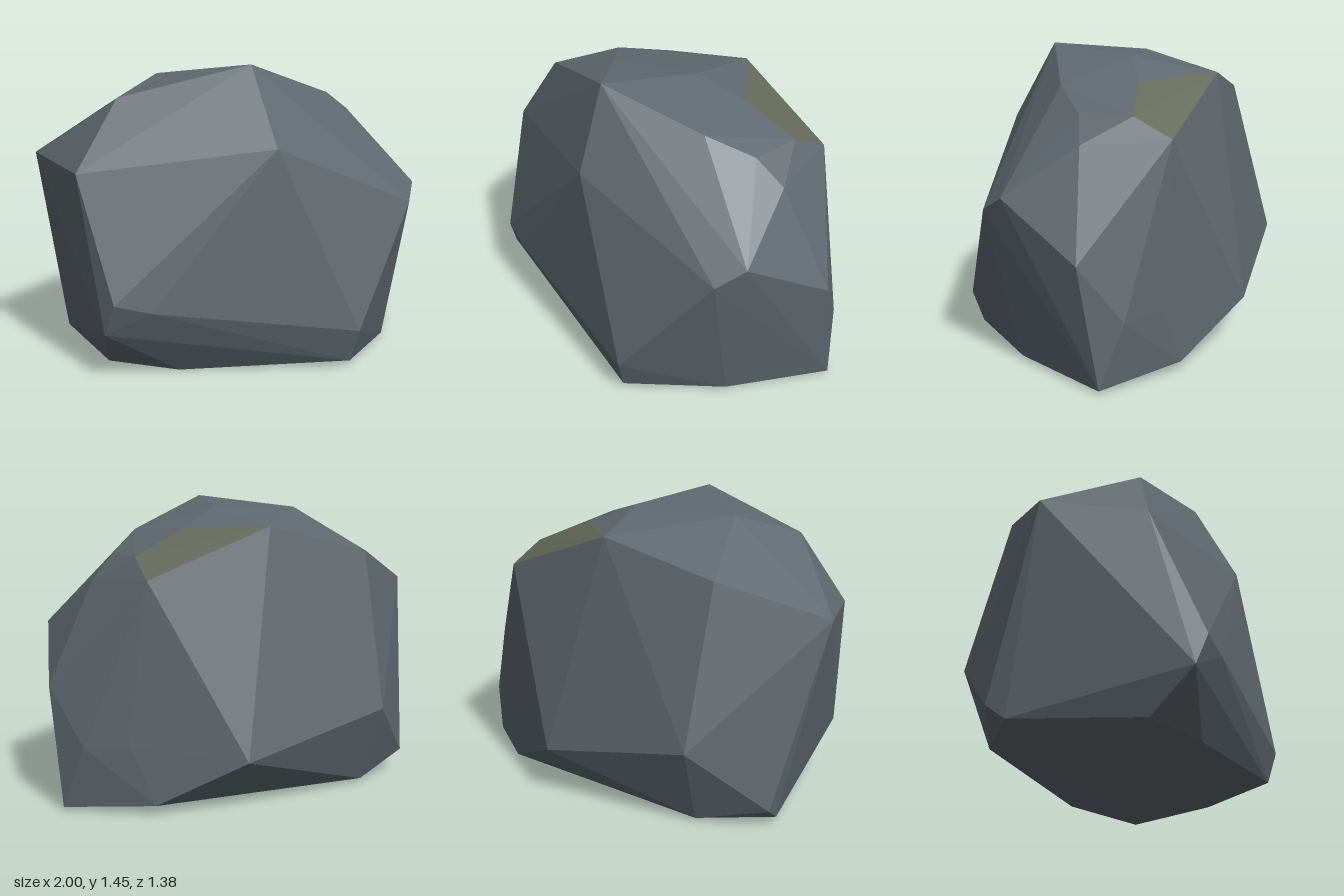
import * as THREE from 'three';
import { ConvexGeometry } from 'three/addons/geometries/ConvexGeometry.js';

const vectors = (list) => list.map((p) => new THREE.Vector3(...p));

// corners of the mossy facet on the upper back
const mossCorners = vectors([
  [0, 1.33, -0.47], [0.33, 1.31, -0.18], [0.6, 1.19, -0.26], [0.61, 1.1, -0.45],
]);

// crown
const crown = vectors([
  [-0.01, 1.445, 0.42], [-0.63, 1.29, 0.3], [-0.4, 1.39, 0.05], [-0.25, 1.41, 0.17],
  [0.11, 1.405, -0.06], [0.45, 1.29, 0.17], [0.62, 1.19, 0],
]);

// widest band around the sides
const flanks = vectors([
  [0.07, 1.065, 0.61], [-0.38, 1.11, 0.46], [-0.84, 0.95, 0.4], [-1, 1, -0.06],
  [-0.8, 1.06, -0.22], [-0.57, 1.19, -0.4], [0.75, 1.07, -0.06],
  [0.89, 0.83, 0.27], [0.82, 0.75, 0.4], [1, 0.59, -0.15],
]);

// lower edge and underside
const base = vectors([
  [0.46, 0.19, 0.69], [-0.53, 0.33, 0.64], [-0.7, 0.37, 0.62], [-0.74, 0.22, 0.57],
  [-0.56, 0.42, -0.615], [0.21, 0.26, -0.69], [0.89, 0.32, -0.33], [0.7, 0.33, -0.44],
  [0.43, 0.03, 0.645], [0.75, 0.02, 0.25], [0.97, 0.015, -0.24], [0.6, 0.05, -0.5],
  [-0.53, 0.02, -0.47], [-0.86, 0.1, -0.34], [-0.85, 0.03, -0.25], [-0.7, 0.02, 0.35],
  [-0.38, 0, 0.5],
]);

function facetMesh(name, positions, color) {
  const geometry = new THREE.BufferGeometry();
  geometry.setAttribute('position', new THREE.Float32BufferAttribute(positions, 3));
  geometry.computeVertexNormals();
  const mesh = new THREE.Mesh(geometry, new THREE.MeshStandardMaterial({ color, flatShading: true }));
  mesh.name = name;
  return mesh;
}

export function createModel() {
  const group = new THREE.Group();
  group.name = 'boulder';
  const hull = new ConvexGeometry([...mossCorners, ...crown, ...flanks, ...base]).getAttribute('position');

  // facets lying wholly between moss corners are mossy, all others bare stone
  const stone = [];
  const moss = [];
  const corner = new THREE.Vector3();
  for (let i = 0; i < hull.count; i += 3) {
    const triangle = [];
    let mossy = true;
    for (let j = 0; j < 3; j++) {
      corner.fromBufferAttribute(hull, i + j);
      triangle.push(...corner.toArray());
      mossy = mossy && mossCorners.some((p) => p.distanceTo(corner) < 1e-4);
    }
    (mossy ? moss : stone).push(...triangle);
  }
  group.add(facetMesh('stone', stone, 0x5f686f));
  group.add(facetMesh('mossPatch', moss, 0x64695a));
  return group;
}
